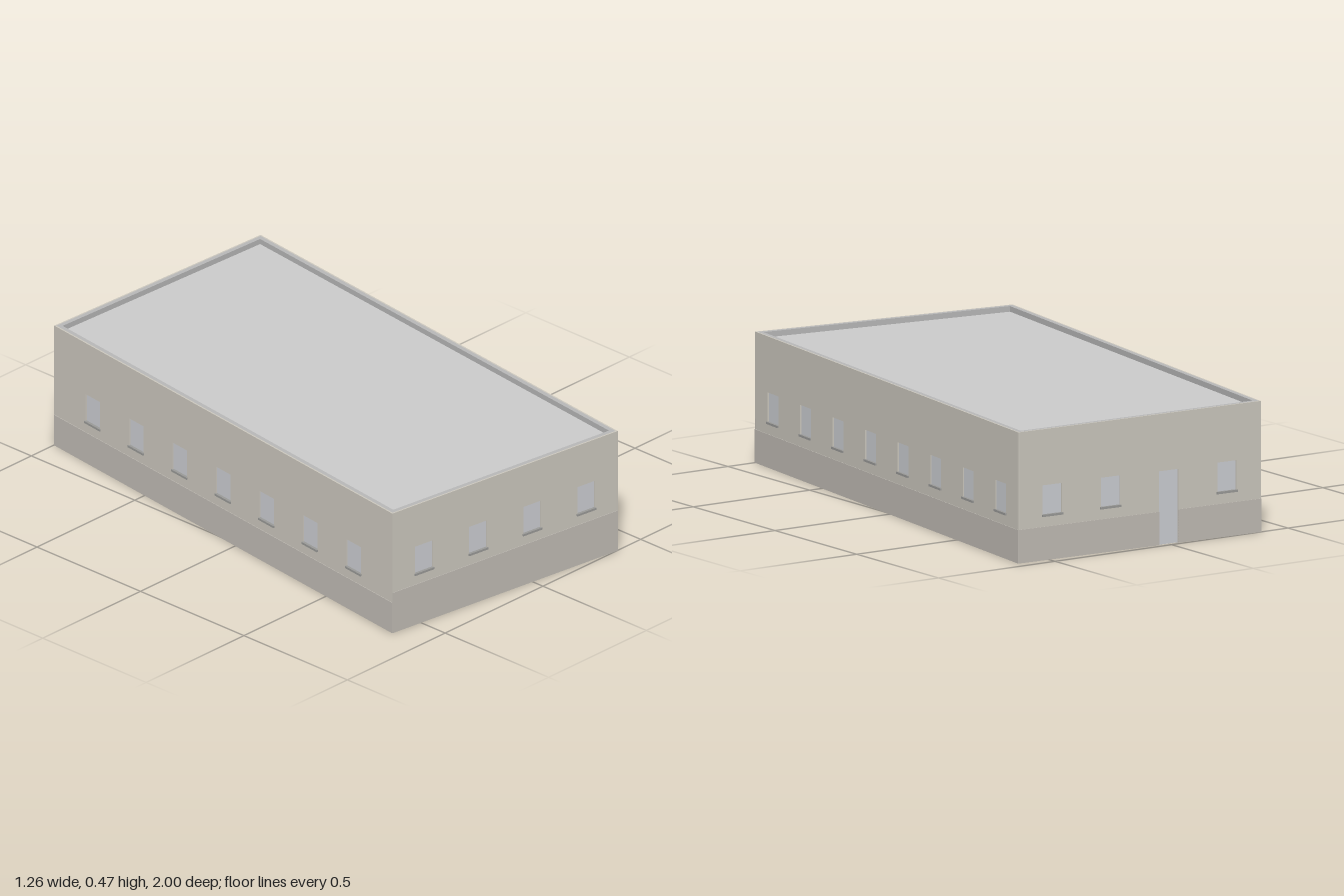
import * as THREE from 'three';

const H = 0.47, ROOF = 0.45, THICK = 0.006;

// Footprint corners as [x, z], in order around the building
const FL = [-0.627, 0.865], FR = [0.383, 1], BR = [0.627, -0.957], BL = [-0.383, -1];
const corners = [FL, FR, BR, BL];

const mat = (color) => new THREE.MeshStandardMaterial({ color, side: THREE.DoubleSide });
const mats = {
  wall: mat(0xccc8be), plinth: mat(0xc1bcb5), glass: mat(0xccced3),
  sill: mat(0x9a9a98), parapet: mat(0xb8b8b8), roof: mat(0xcccccc),
};

function add(parent, name, geometry, material, x = 0, y = 0, z = 0) {
  const mesh = new THREE.Mesh(geometry, material);
  mesh.name = name;
  mesh.position.set(x, y, z);
  parent.add(mesh);
}

const rectPoints = (x0, y0, x1, y1) => [[x0, y0], [x1, y0], [x1, y1], [x0, y1]]
  .map(([x, y]) => new THREE.Vector2(x, y));

const extrude = (shape, depth) => new THREE.ExtrudeGeometry(shape, { depth, bevelEnabled: false });

// Footprint pulled inwards by d along both edges of each corner, drawn in x and -z
function footprint(d) {
  return corners.map((c, i) => {
    const p = new THREE.Vector2(...c);
    const q = p.clone();
    for (const j of [1, 3]) {
      const toNeighbour = new THREE.Vector2(...corners[(i + j) % 4]).sub(p).normalize();
      q.addScaledVector(toNeighbour, d);
    }
    return new THREE.Vector2(q.x, -q.y);
  });
}

// Wall from a to b, left to right as seen from outside; local +z points outwards
function makeWall(name, a, b, { bandTop, windows, door }) {
  const group = new THREE.Group();
  group.name = name;
  const dx = b[0] - a[0], dz = b[1] - a[1], length = Math.hypot(dx, dz);
  group.position.set(a[0], 0, a[1]);
  group.rotation.y = Math.atan2(-dz, dx);

  const w = 0.08, h = 0.107, sillY = bandTop + 0.042, doorTop = 0.265;
  const wall = new THREE.Shape(rectPoints(0, 0, length, H));
  const bands = [[0, length]];

  // Recessed windows with projecting sills
  for (const t of windows) {
    const x = t * length;
    wall.holes.push(new THREE.Path(rectPoints(x - w / 2, sillY, x + w / 2, sillY + h)));
    add(group, 'window', new THREE.PlaneGeometry(w, h), mats.glass, x, sillY + h / 2, -0.005);
    add(group, 'windowSill', new THREE.BoxGeometry(w + 0.006, 0.008, 0.01), mats.sill, x, sillY - 0.002, 0);
  }

  // Recessed door that interrupts the plinth
  if (door) {
    const x = door * length;
    wall.holes.push(new THREE.Path(rectPoints(x - w / 2, 0.001, x + w / 2, doorTop)));
    add(group, 'door', new THREE.PlaneGeometry(w, doorTop), mats.glass, x, doorTop / 2, -0.004);
    bands[0][1] = x - w / 2;
    bands.push([x + w / 2, length]);
  }

  add(group, 'wallPanel', extrude(wall, THICK), mats.wall, 0, 0, -THICK);
  for (const [x0, x1] of bands) {
    add(group, 'plinth', new THREE.BoxGeometry(x1 - x0, bandTop, 0.003), mats.plinth,
      (x0 + x1) / 2, bandTop / 2, 0.0005);
  }
  return group;
}

// Evenly spaced positions, centred on the wall
const spread = (count, step) => Array.from({ length: count }, (_, i) => 0.5 + (i - (count - 1) / 2) * step);

export function createModel() {
  const model = new THREE.Group();
  model.name = 'building';

  const four = spread(4, 0.24);
  model.add(makeWall('frontWall', FL, FR, { bandTop: 0.158, windows: four }));
  model.add(makeWall('leftWall', FR, BR, { bandTop: 0.12, windows: spread(8, 0.1236) }));
  model.add(makeWall('backWall', BR, BL, { bandTop: 0.12, windows: [four[0], four[1], four[3]], door: four[2] }));
  model.add(makeWall('rightWall', BL, FL, { bandTop: 0.12, windows: spread(7, 0.1285) }));

  // Parapet ring around the sunken flat roof
  const ring = new THREE.Shape(footprint(THICK));
  ring.holes.push(new THREE.Path(footprint(0.022)));
  add(model, 'parapet', extrude(ring, H - ROOF).rotateX(-Math.PI / 2), mats.parapet, 0, ROOF, 0);

  const roof = new THREE.ShapeGeometry(new THREE.Shape(footprint(0.022)));
  add(model, 'roof', roof.rotateX(-Math.PI / 2), mats.roof, 0, ROOF, 0);
  return model;
}
